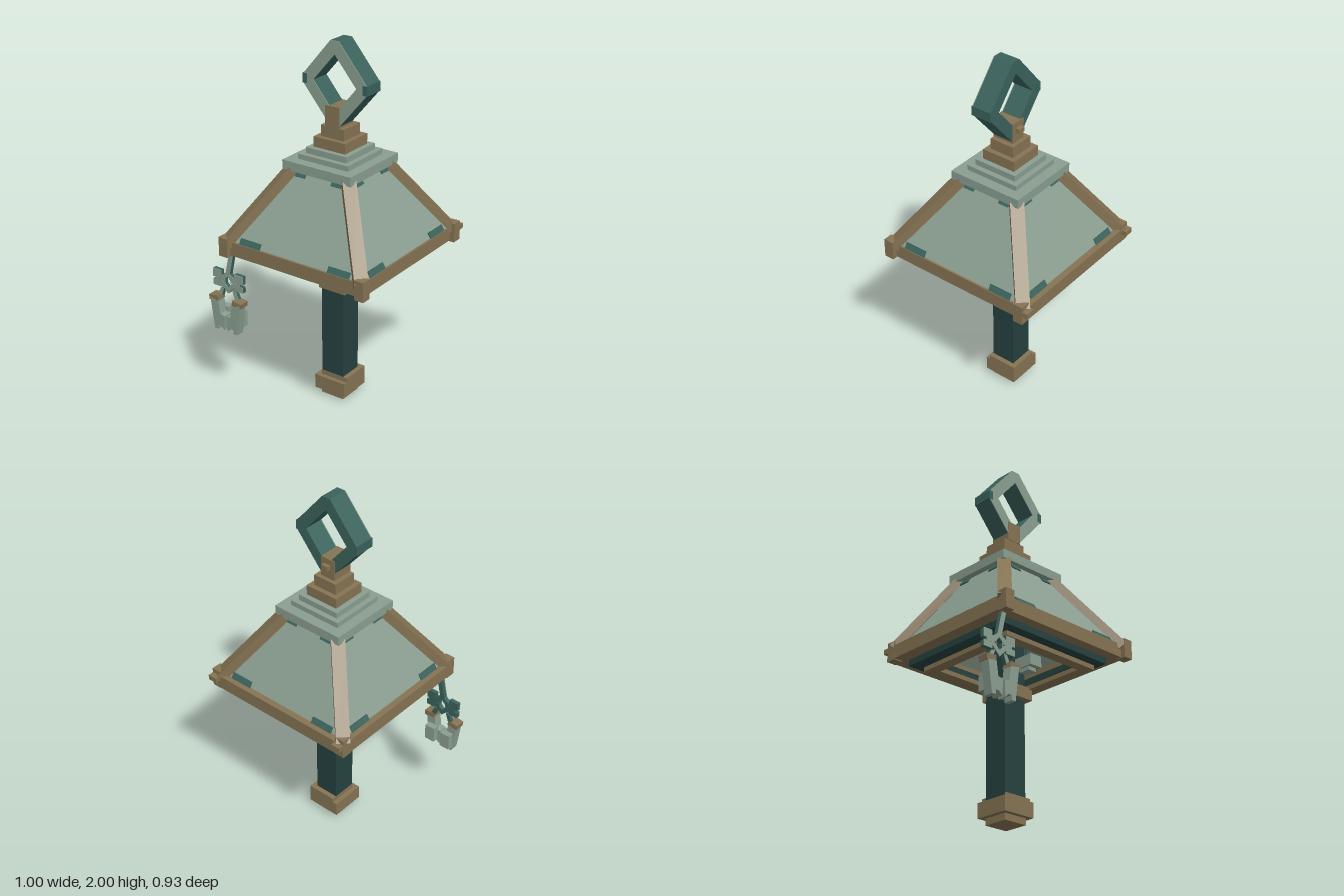
import * as THREE from 'three';

const mat = (name, color, side = THREE.FrontSide) => {
  const m = new THREE.MeshStandardMaterial({ color, side });
  m.name = name;
  return m;
};

export function createModel() {
  const model = new THREE.Group();
  const gold = mat('oldGold', 0x857353);
  const pale = mat('paleGreen', 0x8a9e90, THREE.DoubleSide);
  const teal = mat('teal', 0x3a625b);
  const dark = mat('darkTeal', 0x25413f);

  const add = (name, geo, material, parent = model) => {
    const m = new THREE.Mesh(geo, material);
    m.name = name;
    parent.add(m);
    return m;
  };
  // Box given by its limits on each axis
  const box = (name, material, x0, x1, y0, y1, z0, z1, parent = model) => {
    const m = add(name, new THREE.BoxGeometry(x1 - x0, y1 - y0, z1 - z0), material, parent);
    m.position.set((x0 + x1) / 2, (y0 + y1) / 2, (z0 + z1) / 2);
    return m;
  };
  const CX = 0.023;
  const slab = (name, material, half, y0, y1) =>
    box(name, material, CX - half, CX + half, y0, y1, -half, half);
  const polygon = (pts, Type = THREE.Shape) => new Type(pts.map(p => new THREE.Vector2(...p)));
  const square = (h) => [[-h, -h], [h, -h], [h, h], [-h, h]];
  // Horizontal square frame with an opening
  const frame = (name, material, outer, inner, y0, y1, cx, cz) => {
    const s = polygon(square(outer));
    s.holes.push(polygon(square(inner), THREE.Path));
    const g = new THREE.ExtrudeGeometry(s, { depth: y1 - y0, bevelEnabled: false });
    g.rotateX(-Math.PI / 2);
    add(name, g, material).position.set(cx, y0, cz);
  };
  // Teal extruded outline with a pale front plate
  const plated = (name, shape, z0, z1, parent) => {
    const ext = (d) => new THREE.ExtrudeGeometry(shape, { depth: d, bevelEnabled: false });
    add(name, ext(z1 - z0 - 0.004), teal, parent).position.z = z0;
    add(name + 'Face', ext(0.004), pale, parent).position.z = z1 - 0.004;
  };

  // Post, foot and collar
  slab('post', dark, 0.069, 0.03, 1.34);
  slab('footSole', gold, 0.07, 0, 0.035);
  slab('foot', gold, 0.097, 0.035, 0.115);
  box('footTop', gold, -0.046, 0.12, 0.115, 0.14, -0.097, 0.072);
  box('collar', gold, -0.046, 0.12, 0.655, 0.712, -0.097, 0.097);
  box('collarTop', gold, -0.074, 0.12, 0.712, 0.735, -0.097, 0.072);

  // Stacked frames under the roof
  frame('lowerFrame', gold, 0.31, 0.25, 0.825, 0.85, 0.037, 0.012);
  frame('middleFrame', dark, 0.36, 0.26, 0.85, 0.885, 0.02, 0.017);
  frame('eavesFrame', gold, 0.435, 0.33, 0.885, 0.96, 0.025, 0);

  // Roof panels: open four-sided frustum
  let roof = new THREE.CylinderGeometry(0.17 * Math.SQRT2, 0.415 * Math.SQRT2, 0.385, 4, 1, true);
  roof.rotateY(Math.PI / 4);
  const pos = roof.attributes.position;
  for (let i = 0; i < pos.count; i++) {
    const low = pos.getY(i) < 0;
    pos.setX(i, pos.getX(i) + (low ? 0.037 : 0.024));
    pos.setZ(i, pos.getZ(i) + (low ? 0.012 : 0));
  }
  roof = roof.toNonIndexed();
  roof.computeVertexNormals();
  add('roofPanels', roof, pale).position.y = 0.955 + 0.1925;

  // Teal corner strips along the panel edges
  for (let k = 0; k < 4; k++) {
    for (const [y, d, u, w, cx, cz] of [[0.972, 0.406, 0.275, 0.13, 0.037, 0.012], [1.316, 0.188, 0.11, 0.06, 0.025, 0]]) {
      const side = new THREE.Group();
      side.name = 'panelTrim';
      side.position.set(cx, y, cz);
      side.rotation.y = k * Math.PI / 2;
      model.add(side);
      for (const s of [-1, 1]) {
        const strip = add('trimStrip', new THREE.BoxGeometry(w, 0.035, 0.008), teal, side);
        strip.position.set(s * u, 0, d);
        strip.rotation.x = -0.567;
      }
    }
  }

  // Corner rafters and eaves blocks
  for (const sx of [-1, 1]) for (const sz of [-1, 1]) {
    const a = new THREE.Vector3(0.032 + sx * 0.42, 0.945, 0.01 + sz * 0.42);
    const b = new THREE.Vector3(CX + sx * 0.165, 1.345, sz * 0.165);
    const dir = b.clone().sub(a);
    const len = dir.length();
    dir.normalize();
    const across = new THREE.Vector3(-sz, 0, sx).normalize();
    across.addScaledVector(dir, -across.dot(dir)).normalize();
    const out = across.clone().cross(dir);
    const rafter = add('rafter', new THREE.BoxGeometry(0.07, len, 0.05), gold);
    rafter.quaternion.setFromRotationMatrix(new THREE.Matrix4().makeBasis(across, dir, out));
    rafter.position.copy(a).add(b).multiplyScalar(0.5);
    const x = 0.038 + sx * 0.422, z = 0.015 + sz * 0.42;
    box('eavesBlock', gold, x - 0.027, x + 0.027, 0.88, 0.985, z - 0.028, z + 0.028);
    if (sz < 0) box('eavesPeg', gold, x - 0.026, x + 0.026, 0.932, 0.96, -0.465, -0.43);
  }

  // Stepped cap
  slab('capBase', pale, 0.21, 1.33, 1.38);
  slab('capStep', pale, 0.154, 1.38, 1.408);
  slab('capTop', pale, 0.125, 1.408, 1.44);
  slab('finialBase', gold, 0.097, 1.44, 1.495);
  slab('finialStep', gold, 0.07, 1.495, 1.555);
  box('finialNeck', gold, -0.02, 0.066, 1.555, 1.665, -0.048, 0.073);
  box('finialPeg', gold, 0.005, 0.045, 1.61, 1.635, -0.072, -0.045);

  // Diamond ring on top
  const ring = new THREE.Group();
  ring.name = 'topRing';
  ring.position.set(0.036, 1.78, 0);
  model.add(ring);
  const diamond = polygon([[-0.025, -0.22], [0.025, -0.22], [0.19, -0.025], [0.19, 0.025],
    [0.025, 0.22], [-0.025, 0.22], [-0.19, 0.025], [-0.19, -0.025]]);
  diamond.holes.push(polygon([[0, -0.155], [0.13, 0], [0, 0.152], [-0.13, 0]], THREE.Path));
  plated('ring', diamond, -0.043, 0.07, ring);
  for (const s of [-1, 1]) box('ringCorner', teal, s * 0.182 - 0.013, s * 0.182 + 0.013, -0.025, 0.025, -0.044, 0.072, ring);

  // Small lamp under the roof
  box('lampRod', teal, 0.025, 0.045, 0.85, 1.24, 0.14, 0.16);
  box('lampBody', pale, 0, 0.075, 0.79, 0.85, 0.095, 0.21);
  box('lampTip', pale, 0.01, 0.06, 0.77, 0.79, 0.12, 0.185);

  // Hanging charm: cord, bow and two tassels
  const charm = new THREE.Group();
  charm.name = 'charm';
  charm.position.set(-0.405, 0, 0);
  model.add(charm);
  plated('cord', polygon([[-0.012, 0.755], [0.014, 0.755], [0.046, 0.9], [0.02, 0.9]]), 0.385, 0.412, charm);
  const knot = polygon([[0, 0.64], [0.062, 0.705], [0, 0.77], [-0.062, 0.705]]);
  knot.holes.push(polygon([[0, 0.672], [0.034, 0.705], [0, 0.738], [-0.034, 0.705]], THREE.Path));
  plated('knot', knot, 0.385, 0.412, charm);
  for (const s of [-1, 1]) {
    const half = new THREE.Group();
    half.name = 'charmHalf';
    charm.add(half);
    const pts = (list) => polygon(list.map(([x, y]) => [s * x, y]));
    const bow = pts([[0.02, 0.75], [0.045, 0.735], [0.045, 0.762], [0.1, 0.762], [0.1, 0.715], [0.08, 0.715],
      [0.08, 0.7], [0.1, 0.7], [0.1, 0.668], [0.045, 0.668], [0.045, 0.685], [0.02, 0.66]]);
    bow.holes.push(pts([[0.02, 0.705], [0.045, 0.725], [0.062, 0.705], [0.045, 0.69]]));
    plated('bowLoop', bow, 0.386, 0.411, half);
    plated('tail', pts([[0.028, 0.665], [0.05, 0.66], [0.07, 0.615], [0.045, 0.615]]), 0.386, 0.411, half);
    const cap = box('tasselCap', gold, s * 0.075 - 0.03, s * 0.075 + 0.03, 0.592, 0.62, 0.383, 0.44, half);
    cap.rotation.z = -s * 0.12;
    cap.position.x = s * 0.077;
    const tassel = pts([[0.046, 0.595], [0.1, 0.605], [0.075, 0.425], [0.052, 0.425], [0.05, 0.45],
      [0.03, 0.45], [0.01, 0.43], [0.005, 0.515], [0.035, 0.52]].map(([x, y]) => [x, y]));
    add('tassel', new THREE.ExtrudeGeometry(tassel, { depth: 0.05, bevelEnabled: false }), pale, half).position.z = 0.39;
    box('tasselFringe', pale, s * 0.05 - 0.03, s * 0.05 + 0.03, 0.455, 0.545, 0.355, 0.392, half);
  }
  return model;
}
